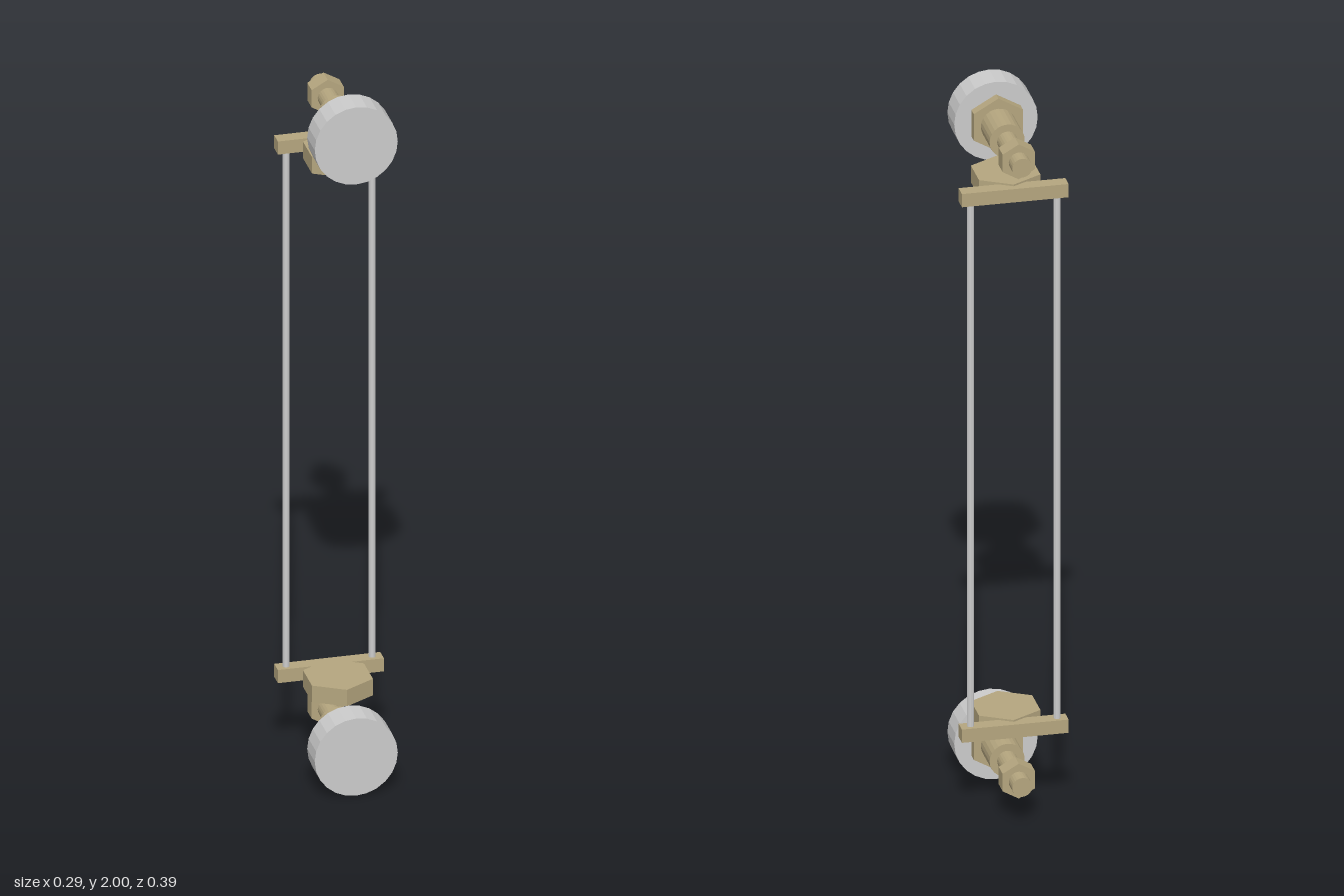
import * as THREE from 'three';

export function createModel() {
  const model = new THREE.Group();
  const brass = new THREE.MeshStandardMaterial({ color: 0xb5a67f, flatShading: true });
  brass.name = 'brass';
  const steel = new THREE.MeshStandardMaterial({ color: 0xcccccc, flatShading: true });
  steel.name = 'steel';

  const add = (parent, name, geometry, material, x, y, z) => {
    const mesh = new THREE.Mesh(geometry, material);
    mesh.name = name;
    mesh.position.set(x, y, z);
    parent.add(mesh);
  };

  // Prism or cylinder lying along z, between z0 and z1; hexagons have points up and down
  const alongZ = (parent, name, radius, sides, z0, z1, material) => {
    const geometry = new THREE.CylinderGeometry(radius, radius, z1 - z0, sides);
    geometry.rotateX(Math.PI / 2);
    add(parent, name, geometry, material, 0, 0, (z0 + z1) / 2);
  };

  // Valve spindle with its hand wheel, one at each end
  for (const [end, y] of [['lower', 0.112], ['upper', 1.888]]) {
    const valve = new THREE.Group();
    valve.name = end + 'Valve';
    valve.position.y = y;
    alongZ(valve, 'handWheel', 0.112, 24, 0.113, 0.193, steel);
    alongZ(valve, 'hexCollar', 0.076, 6, 0.085, 0.113, brass);
    alongZ(valve, 'valveBody', 0.047, 24, -0.018, 0.085, brass);
    alongZ(valve, 'stem', 0.027, 24, -0.195, -0.018, brass);
    alongZ(valve, 'hexNut', 0.05, 6, -0.154, -0.108, brass);
    model.add(valve);
  }

  // Hexagonal end blocks with points to front and back, and the cross bars
  for (const [end, y] of [['lower', 0.237], ['upper', 1.773]]) {
    add(model, end + 'HexBlock', new THREE.CylinderGeometry(0.095, 0.095, 0.048, 6), brass, 0, y, 0);
    add(model, end + 'CrossBar', new THREE.BoxGeometry(0.286, 0.038, 0.039), brass, 0, y, -0.0935);
  }

  // Guard rods joining the cross bars
  for (const [side, x] of [['left', 0.116], ['right', -0.116]]) {
    add(model, side + 'GuardRod', new THREE.CylinderGeometry(0.0095, 0.0095, 1.51, 12), steel, x, 1.005, -0.0935);
  }

  return model;
}
